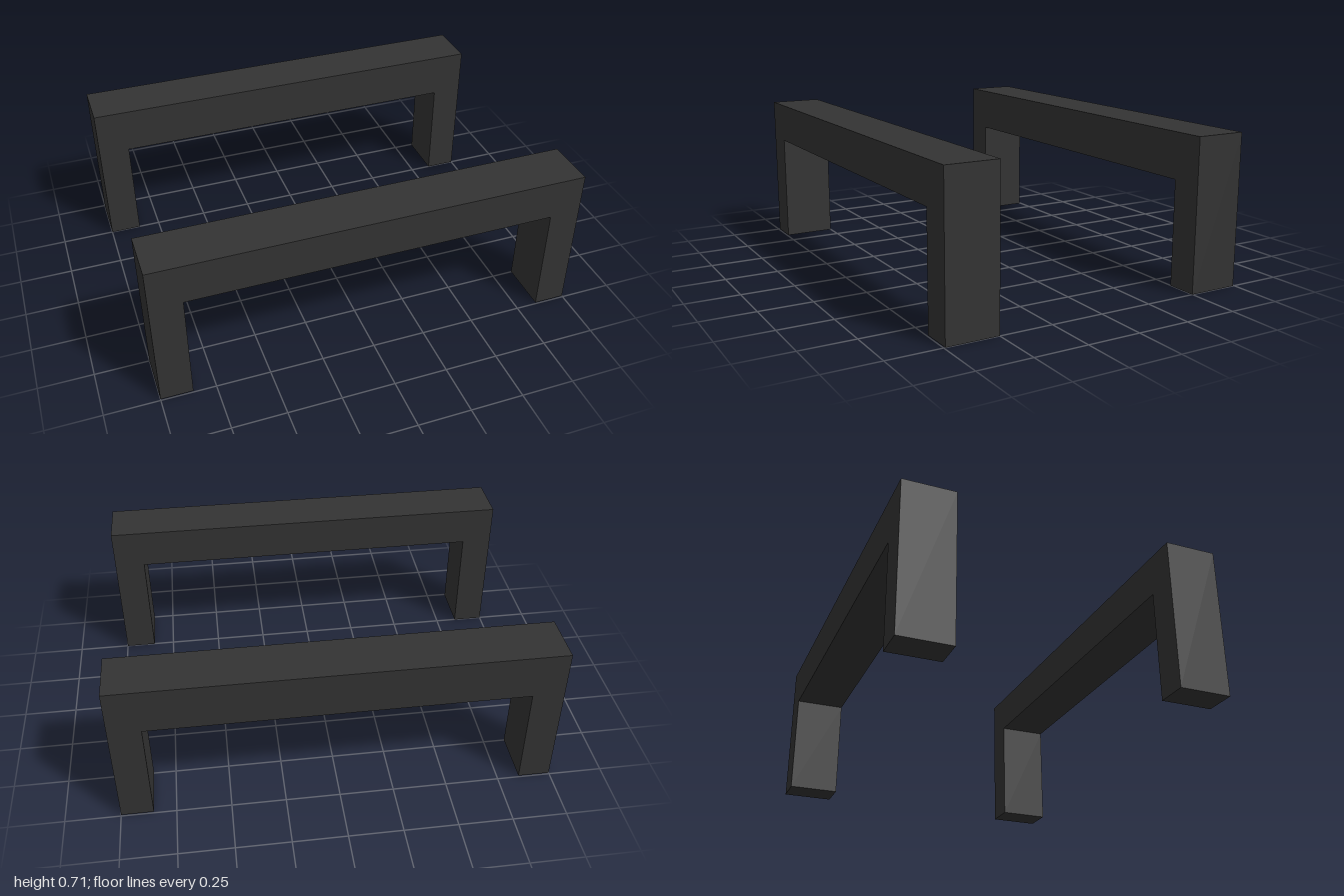
import * as THREE from 'three';

const HEIGHT = 0.714, LEG = 0.147, DEPTH = 0.244, Z = 0.621;

// Square-cornered handle: a bar on two legs, extruded along z
function makeHandle(name, underside, z, material) {
  const inner = 1 - LEG;
  const outline = [
    [-1, 0], [-inner, 0], [-inner, underside], [inner, underside],
    [inner, 0], [1, 0], [1, HEIGHT], [-1, HEIGHT],
  ];
  const shape = new THREE.Shape(outline.map(([x, y]) => new THREE.Vector2(x, y)));
  const geometry = new THREE.ExtrudeGeometry(shape, { depth: DEPTH, bevelEnabled: false });
  geometry.translate(0, 0, -DEPTH / 2);
  const mesh = new THREE.Mesh(geometry, material);
  mesh.name = name;
  mesh.position.z = z;
  return mesh;
}

export function createModel() {
  const charcoal = new THREE.MeshStandardMaterial({ color: 0x333333 });
  charcoal.name = 'charcoal';

  const model = new THREE.Group();
  model.name = 'handlePair';
  // The back handle has a slightly thicker bar
  model.add(makeHandle('frontHandle', 0.525, Z, charcoal));
  model.add(makeHandle('backHandle', 0.498, -Z, charcoal));
  return model;
}
